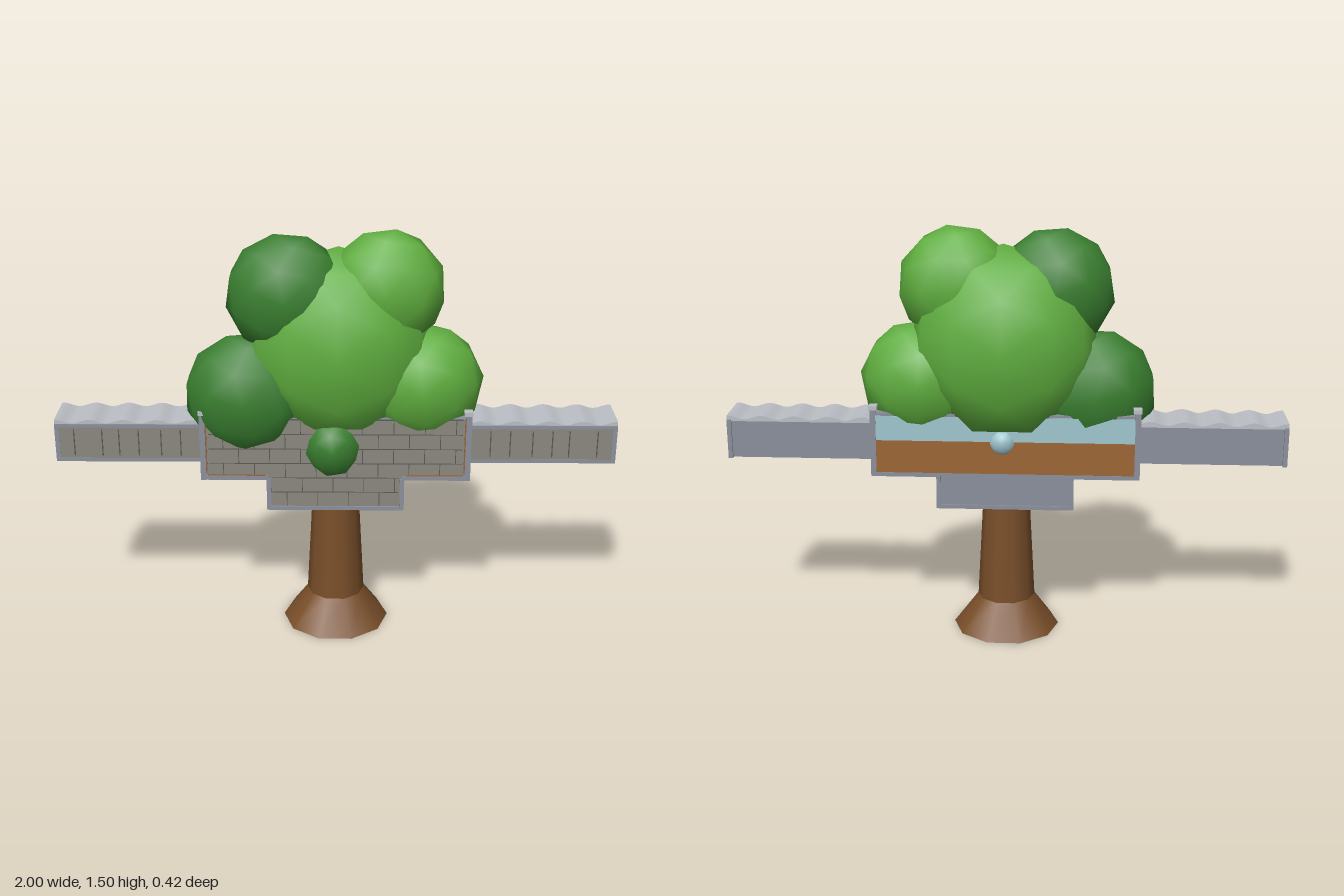
import * as THREE from 'three';
import { mergeVertices } from 'three/addons/utils/BufferGeometryUtils.js';

const mat = (name, color) => Object.assign(new THREE.MeshStandardMaterial({ color }), { name });

export function createModel() {
  const bark = mat('bark', 0x7a4f2a);
  const timber = mat('timber', 0x9c6534);
  const leafLight = mat('light leaf', 0x5fae3e);
  const leafDark = mat('dark leaf', 0x3a8030);
  const stone = mat('stone', 0x8a887f);
  const joint = mat('stone joint', 0x5a5a55);
  const slate = mat('slate trim', 0x8a909c);
  const cap = mat('pale capstone', 0xbcc0c6);
  const panel = mat('pale blue panel', 0xa0c6d0);

  const root = new THREE.Group();
  root.name = 'treeWithBridge';
  const add = (name, geo, material, x = 0, y = 0, z = 0) => {
    const m = new THREE.Mesh(geo, material);
    m.name = name;
    m.position.set(x, y, z);
    root.add(m);
    return m;
  };
  // Box given by its min and max corners
  const box = (name, material, x0, x1, y0, y1, z0, z1) =>
    add(name, new THREE.BoxGeometry(x1 - x0, y1 - y0, z1 - z0), material,
      (x0 + x1) / 2, (y0 + y1) / 2, (z0 + z1) / 2);

  // Trunk with a flared, ten-sided foot
  const cyl = (top, bottom, h) => new THREE.CylinderGeometry(top, bottom, h, 10);
  const foot = add('trunkFoot', cyl(0.105, 0.195, 0.12), bark, 0, 0.06, 0.01);
  const trunk = add('trunk', cyl(0.083, 0.105, 0.42), bark, 0, 0.33, 0.01);
  foot.rotation.y = trunk.rotation.y = Math.PI / 10;

  // Foliage: flattened low-poly balls with smooth normals
  const ball = (name, material, x, y, z, rx, ry, rz, turn) => {
    let g = new THREE.IcosahedronGeometry(1, 1);
    g.deleteAttribute('normal');
    g.deleteAttribute('uv');
    g = mergeVertices(g, 1e-4);
    g.rotateZ(turn);
    g.scale(rx, ry, rz);
    g.computeVertexNormals();
    add(name, g, material, x, y, z);
  };
  ball('crownCentre', leafLight, 0.01, 1.08, 0, 0.34, 0.36, 0.21, 0);
  ball('crownUpperLeft', leafLight, 0.175, 1.29, 0.01, 0.21, 0.215, 0.14, 0.4);
  ball('crownUpperRight', leafDark, -0.17, 1.275, 0.03, 0.215, 0.22, 0.14, 0.2);
  ball('crownLowerLeft', leafLight, 0.305, 0.95, 0.01, 0.22, 0.215, 0.16, 0.1);
  ball('crownLowerRight', leafDark, -0.315, 0.91, 0.03, 0.225, 0.225, 0.155, 0.3);
  ball('frontSprig', leafDark, -0.01, 0.73, 0.06, 0.115, 0.125, 0.11, 0.15);
  ball('rearKnob', panel, 0.01, 0.745, -0.085, 0.05, 0.05, 0.04, 0);

  // Stepped central platform
  const ZF = 0.115, ZB = -0.1;
  box('upperBlock', slate, -0.47, 0.47, 0.62, 0.85, ZB, ZF);
  box('lowerBlock', slate, -0.24, 0.24, 0.5, 0.62, ZB, ZF);
  box('upperStoneFace', stone, -0.465, 0.465, 0.62, 0.845, ZF, ZF + 0.005);
  box('lowerStoneFace', stone, -0.235, 0.235, 0.505, 0.625, ZF, ZF + 0.005);
  box('rearTimber', timber, -0.46, 0.46, 0.63, 0.75, ZB - 0.004, ZB);
  box('rearPanel', panel, -0.46, 0.46, 0.75, 0.84, ZB - 0.004, ZB);
  box('underPanel', panel, -0.23, 0.23, 0.497, 0.5, ZB + 0.01, ZF - 0.01);

  for (const s of [-1, 1]) {
    // Bar mirrored to either side
    const side = (name, m, a, b, ...rest) =>
      box(name, m, Math.min(s * a, s * b), Math.max(s * a, s * b), ...rest);

    // Platform ends, posts and edging
    side('platformEndPanel', panel, 0.47, 0.475, 0.63, 0.86, ZB + 0.01, ZF - 0.01);
    side('lowerEndPanel', panel, 0.24, 0.244, 0.51, 0.615, ZB + 0.01, ZF - 0.01);
    side('overhangPanel', s > 0 ? panel : timber, 0.25, 0.46, 0.617, 0.62, ZB + 0.01, ZF - 0.01);
    for (const z of [ZF - 0.003, ZB - 0.006]) {
      side('cornerPost', slate, 0.46, 0.48, 0.615, 0.875, z, z + 0.015);
      side('postCap', cap, 0.452, 0.482, 0.865, 0.88, z - 0.012, z + 0.02);
      side('lowerPost', slate, 0.23, 0.246, 0.497, 0.62, z, z + 0.014);
      side('overhangEdge', slate, 0.24, 0.478, 0.615, 0.63, z, z + 0.014);
    }
    side('frontTimberStrip', timber, 0.456, 0.46, 0.64, 0.85, ZF, ZF + 0.008);
    side('frontTimberRail', timber, 0.25, 0.455, 0.63, 0.634, ZF, ZF + 0.008);

    // Side bridge beam
    const F = 0.078, B = -0.078;
    side('bridgeBeam', slate, 0.47, 0.992, 0.67, 0.805, B, F);
    side('bridgeStoneFace', stone, 0.48, 0.985, 0.68, 0.8, F, F + 0.005);
    side('bridgeEndTimber', timber, 0.992, 0.996, 0.678, 0.8, B + 0.008, F - 0.008);
    if (s > 0) side('bridgeEndPanel', panel, 0.996, 0.998, 0.688, 0.79, B + 0.024, F - 0.024);
    for (const y of [0.667, 0.798])
      side('bridgeFrontEdge', slate, 0.478, 0.998, y, y + 0.013, F - 0.003, F + 0.007);
    for (const z of [F - 0.004, B - 0.006])
      side('bridgeEndPost', slate, 0.984, 1, 0.667, 0.811, z, z + 0.01);
    for (const y of [0.667, 0.8])
      side('bridgeEndEdge', slate, 0.985, 1, y, y + 0.011, B, F);

    // Stone slab joints on the bridge
    for (const x of [0.55, 0.62, 0.7, 0.77, 0.83, 0.93])
      side('slabJoint', joint, x, x + 0.004, 0.69, 0.79, F, F + 0.007);

    // Gently waved capstones
    const shape = new THREE.Shape();
    shape.moveTo(0.475, 0.806);
    for (let i = 0; i <= 40; i++) {
      const x = 0.475 + i * 0.0131;
      shape.lineTo(x, 0.82 + 0.007 * Math.sin(x * 52));
    }
    shape.lineTo(0.999, 0.806);
    const wave = new THREE.ExtrudeGeometry(shape, { depth: 0.164, bevelEnabled: false });
    wave.translate(0, 0, -0.082);
    if (s < 0) wave.rotateY(Math.PI);
    add('waveCapstone', wave, cap);
  }

  // Bottom edging of the lower block
  for (const z of [ZF - 0.003, ZB - 0.006])
    box('lowerEdge', slate, -0.24, 0.24, 0.496, 0.51, z, z + 0.014);

  // Brick joints on the platform front
  for (let row = 0; row < 6; row++) {
    const y = 0.51 + row * 0.056, w = row < 2 ? 0.225 : 0.45;
    box('courseJoint', joint, -w, w, y + 0.054, y + 0.057, ZF, ZF + 0.006);
    for (let x = -w + 0.05 + (row % 2) * 0.055; x < w; x += 0.11)
      box('brickJoint', joint, x, x + 0.003, y, y + 0.055, ZF, ZF + 0.006);
  }
  return root;
}
